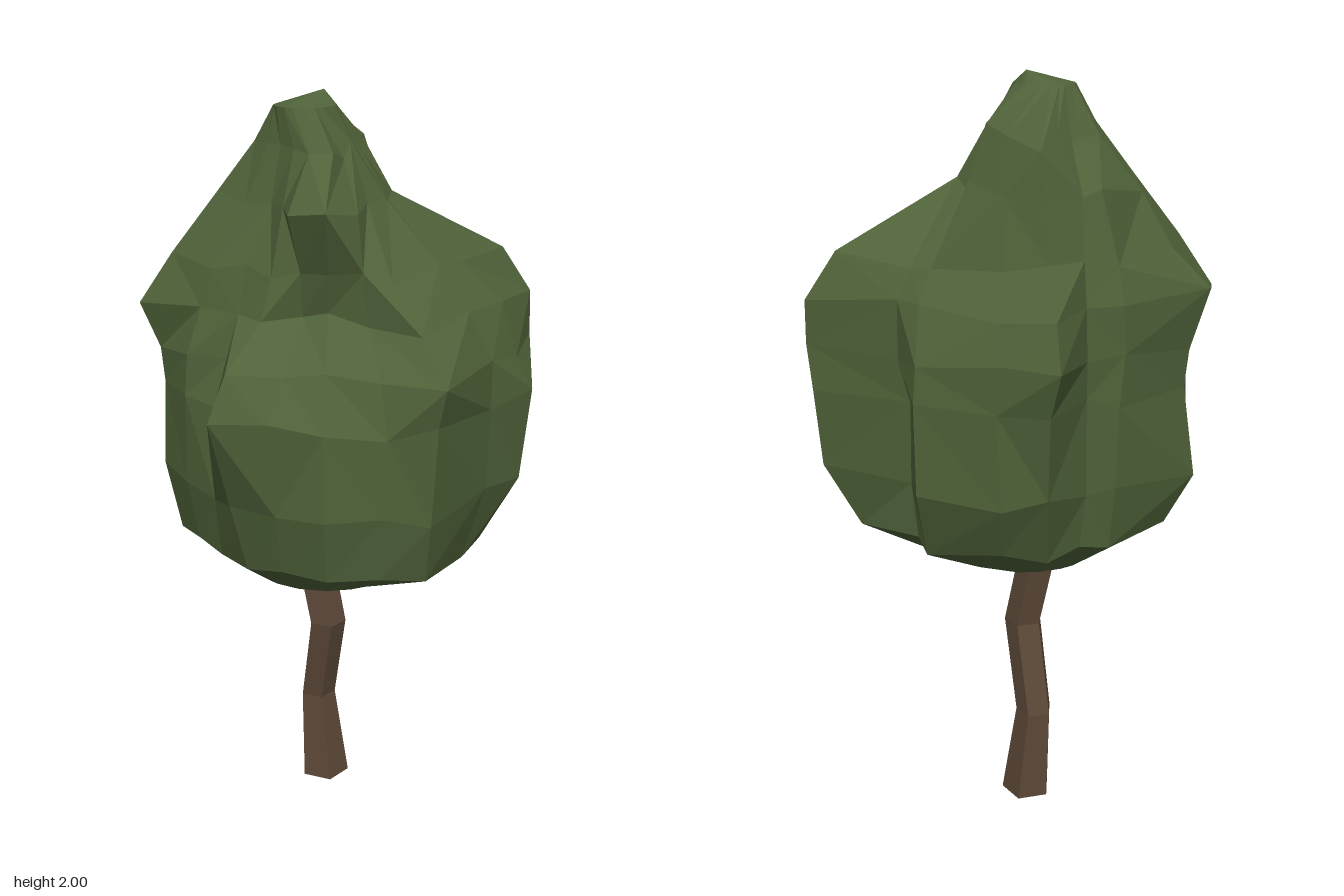
import * as THREE from 'three';

// Small seeded generator, returns -1..1
function makeNoise(seed) {
  let s = seed;
  return () => {
    s = (s * 16807) % 2147483647;
    return (s / 2147483647) * 2 - 1;
  };
}

// Skin closed rings (listed bottom to top) with faceted triangles, closing both ends on a point
function loft(rings, bottom, top, flip) {
  const n = rings[0].length;
  const pos = [];
  const tri = (...pts) => pts.forEach((p) => pos.push(p.x, p.y, p.z));
  const last = rings[rings.length - 1];
  for (let j = 0; j < n; j++) {
    const k = (j + 1) % n;
    tri(rings[0][k], bottom, rings[0][j]);
    for (let i = 0; i + 1 < rings.length; i++) {
      const a = rings[i][j], b = rings[i][k], c = rings[i + 1][k], d = rings[i + 1][j];
      if (flip()) { tri(a, d, b); tri(d, c, b); }
      else { tri(a, d, c); tri(a, c, b); }
    }
    tri(last[j], top, last[k]);
  }
  const geo = new THREE.BufferGeometry();
  geo.setAttribute('position', new THREE.Float32BufferAttribute(pos, 3));
  geo.computeVertexNormals();
  return geo;
}

// Crown: spoke angles (from +x towards +z) follow the lobes and grooves, one radius per spoke on each level
const SPOKES = [4, 37, 52, 70, 90, 108, 128, 145, 162, 180, 213, 222, 240, 255, 284, 296, 320, 345];
const LEVELS = [0.83, 1.0, 1.23, 1.34, 1.47, 1.57, 1.73, 1.86];
const RADII = [
  [.38, .43, .40, .37, .35, .35, .34, .37, .42, .42, .38, .35, .38, .38, .39, .36, .44, .40],
  [.44, .47, .43, .41, .39, .40, .36, .40, .46, .49, .41, .37, .46, .45, .46, .37, .53, .50],
  [.445, .49, .43, .40, .42, .49, .35, .40, .45, .46, .42, .37, .50, .46, .46, .38, .55, .525],
  [.44, .52, .39, .34, .35, .43, .31, .39, .46, .47, .425, .38, .545, .47, .45, .40, .56, .48],
  [.38, .40, .27, .22, .21, .28, .28, .35, .51, .515, .425, .38, .50, .43, .40, .40, .56, .44],
  [.29, .29, .27, .25, .23, .24, .25, .32, .42, .42, .40, .36, .39, .35, .35, .36, .48, .33],
  [.15, .16, .23, .32, .28, .20, .18, .23, .30, .33, .35, .33, .36, .31, .20, .17, .16, .14],
  [.07, .08, .10, .15, .16, .15, .15, .17, .20, .22, .22, .22, .34, .20, .13, .10, .07, .07],
];

function crownGeometry() {
  const noise = makeNoise(4217);
  const spokePoint = (j, r, x, y, z) => {
    const angle = THREE.MathUtils.degToRad(SPOKES[j] + 2 * noise());
    return new THREE.Vector3(x + r * Math.cos(angle), y, z + r * Math.sin(angle));
  };
  const rings = RADII.map((radii, i) => radii.map((r, j) => spokePoint(j, r, 0, LEVELS[i] + 0.022 * noise(), 0)));
  // Small round rings close the underside and the tip
  rings.unshift(SPOKES.map((_, j) => spokePoint(j, 0.21, -0.02, 0.725, 0)));
  rings.push(SPOKES.map((_, j) => spokePoint(j, 0.08, -0.06, 1.965, 0.04)));
  const bottom = new THREE.Vector3(-0.02, 0.675, 0.03);
  const top = new THREE.Vector3(-0.03, 2, -0.01);
  return loft(rings, bottom, top, () => noise() > 0);
}

// Trunk: five-sided, bent at two joints; stations are x, y, z, radius
const TRUNK = [
  [-0.063, 0, -0.086, 0.07],
  [-0.086, 0.26, -0.088, 0.051],
  [-0.04, 0.515, -0.05, 0.053],
  [-0.085, 0.72, -0.058, 0.054],
  [-0.1, 0.85, -0.06, 0.05],
];

function trunkGeometry() {
  const rings = TRUNK.map(([x, y, z, r]) => Array.from({ length: 5 }, (_, j) => {
    const a = (j / 5) * Math.PI * 2 + 0.95;
    return new THREE.Vector3(x + r * Math.cos(a), y, z + r * Math.sin(a));
  }));
  const centre = ([x, y, z]) => new THREE.Vector3(x, y, z);
  return loft(rings, centre(TRUNK[0]), centre(TRUNK[TRUNK.length - 1]), () => false);
}

export function createModel() {
  const leafGreen = new THREE.MeshStandardMaterial({ color: 0x4f6239 });
  leafGreen.name = 'leafGreen';
  const barkBrown = new THREE.MeshStandardMaterial({ color: 0x5c4838 });
  barkBrown.name = 'barkBrown';

  const tree = new THREE.Group();
  tree.name = 'tree';

  const crown = new THREE.Mesh(crownGeometry(), leafGreen);
  crown.name = 'crown';
  const trunk = new THREE.Mesh(trunkGeometry(), barkBrown);
  trunk.name = 'trunk';
  tree.add(crown, trunk);
  return tree;
}
